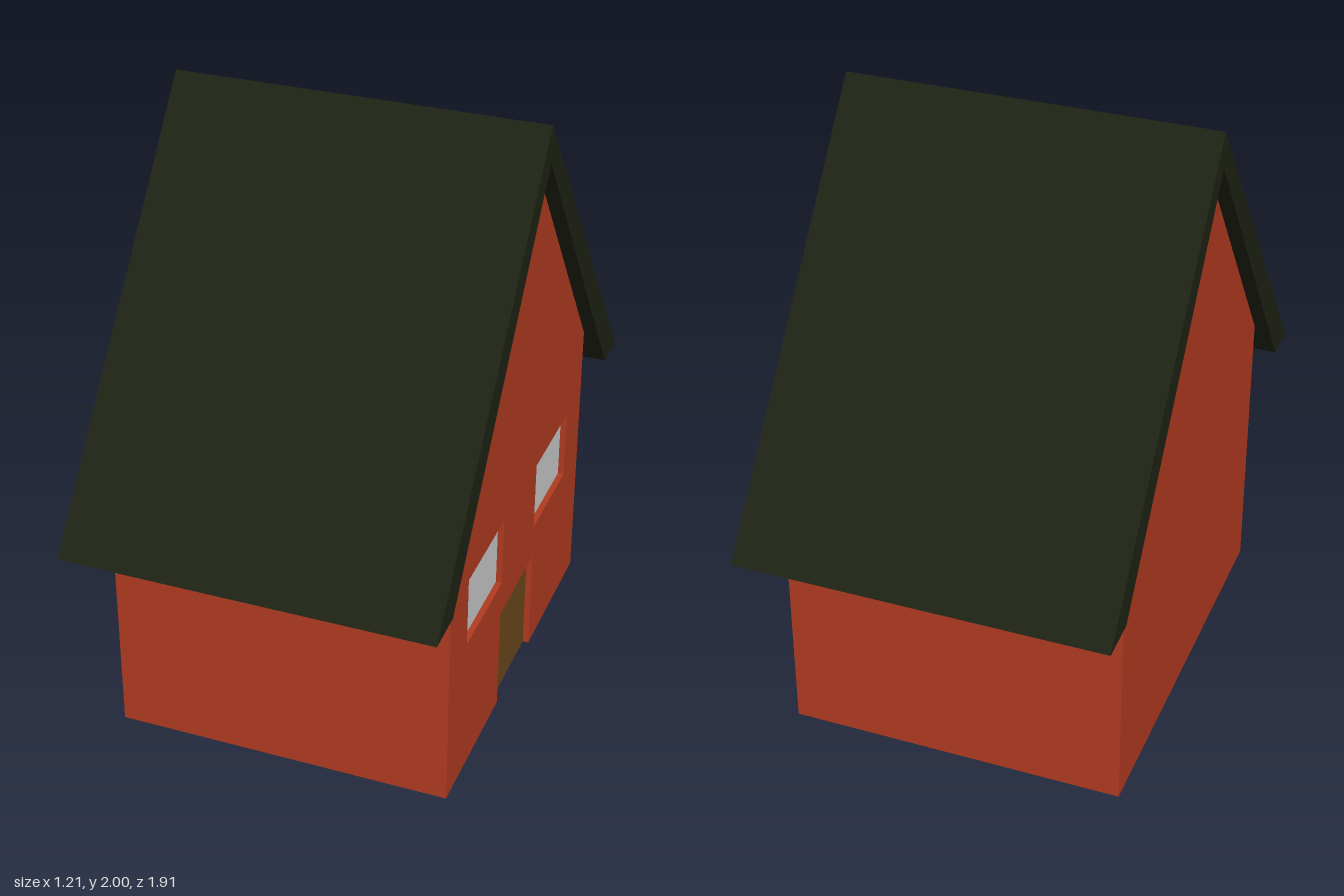
import * as THREE from 'three';

const HX = 0.557;      // half length of the walls (x)
const HZ = 0.69;       // half width of the gables (z)
const EAVE = 0.955, PEAK = 1.88;
const RECESS = 0.02;   // depth of door and window openings
const DOOR = { z: 0, w: 0.35, y0: 0, y1: 0.36 };
const WINDOWS = [-1, 1].map((s) => ({ z: s * 0.348, w: 0.35, y0: 0.48, y1: 0.72 }));

const material = (color) =>
  new THREE.MeshStandardMaterial({ color, flatShading: true, side: THREE.DoubleSide });
const polygon = (points) => new THREE.Shape(points.map(([x, y]) => new THREE.Vector2(x, y)));

export function createModel() {
  const model = new THREE.Group();
  const brick = material(0xb33b21);
  const roofing = material(0x1e2214);
  const wood = material(0x6c481d);
  const glass = material(0xcccccc);

  const add = (name, geometry, mat, x = 0, y = 0, z = 0) => {
    const mesh = new THREE.Mesh(geometry, mat);
    mesh.name = name;
    mesh.position.set(x, y, z);
    model.add(mesh);
    return mesh;
  };

  // Gable wall with the doorway notched out and window holes
  const d = DOOR.w / 2;
  const gable = polygon([[-HZ, 0], [-d, 0], [-d, DOOR.y1], [d, DOOR.y1], [d, 0],
    [HZ, 0], [HZ, EAVE], [0, PEAK], [-HZ, EAVE]]);
  for (const { z, w, y0, y1 } of WINDOWS) {
    gable.holes.push(polygon([[z - w / 2, y0], [z - w / 2, y1], [z + w / 2, y1], [z + w / 2, y0]]));
  }
  const gableGeometry = new THREE.ExtrudeGeometry(gable, { depth: RECESS, bevelEnabled: false });
  add('entranceGable', gableGeometry.rotateY(Math.PI / 2), brick, HX - RECESS);

  // Plain gable at the other end
  const plain = polygon([[-HZ, 0], [HZ, 0], [HZ, EAVE], [0, PEAK], [-HZ, EAVE]]);
  add('plainGable', new THREE.ShapeGeometry(plain).rotateY(-Math.PI / 2), brick, -HX);

  // Long walls; the house is open underneath
  for (const s of [-1, 1]) {
    const wall = new THREE.PlaneGeometry(2 * HX, EAVE);
    if (s < 0) wall.rotateY(Math.PI);
    add(s > 0 ? 'frontWall' : 'backWall', wall, brick, 0, EAVE / 2, s * HZ);
  }

  // Door and window panels set back in their openings
  const panel = (name, { z, w, y0, y1 }, mat) =>
    add(name, new THREE.PlaneGeometry(w, y1 - y0).rotateY(Math.PI / 2), mat,
      HX - RECESS, (y0 + y1) / 2, z);
  panel('door', DOOR, wood);
  panel('backWindow', WINDOWS[0], glass);
  panel('frontWindow', WINDOWS[1], glass);

  // Thick gabled roof overhanging all sides
  const roof = polygon([[-0.955, 0.785], [-0.815, 0.79], [0, PEAK], [0.815, 0.79], [0.955, 0.785], [0, 2]]);
  const roofGeometry = new THREE.ExtrudeGeometry(roof, { depth: 1.21, bevelEnabled: false });
  add('roof', roofGeometry.rotateY(Math.PI / 2), roofing, -0.605);

  return model;
}
